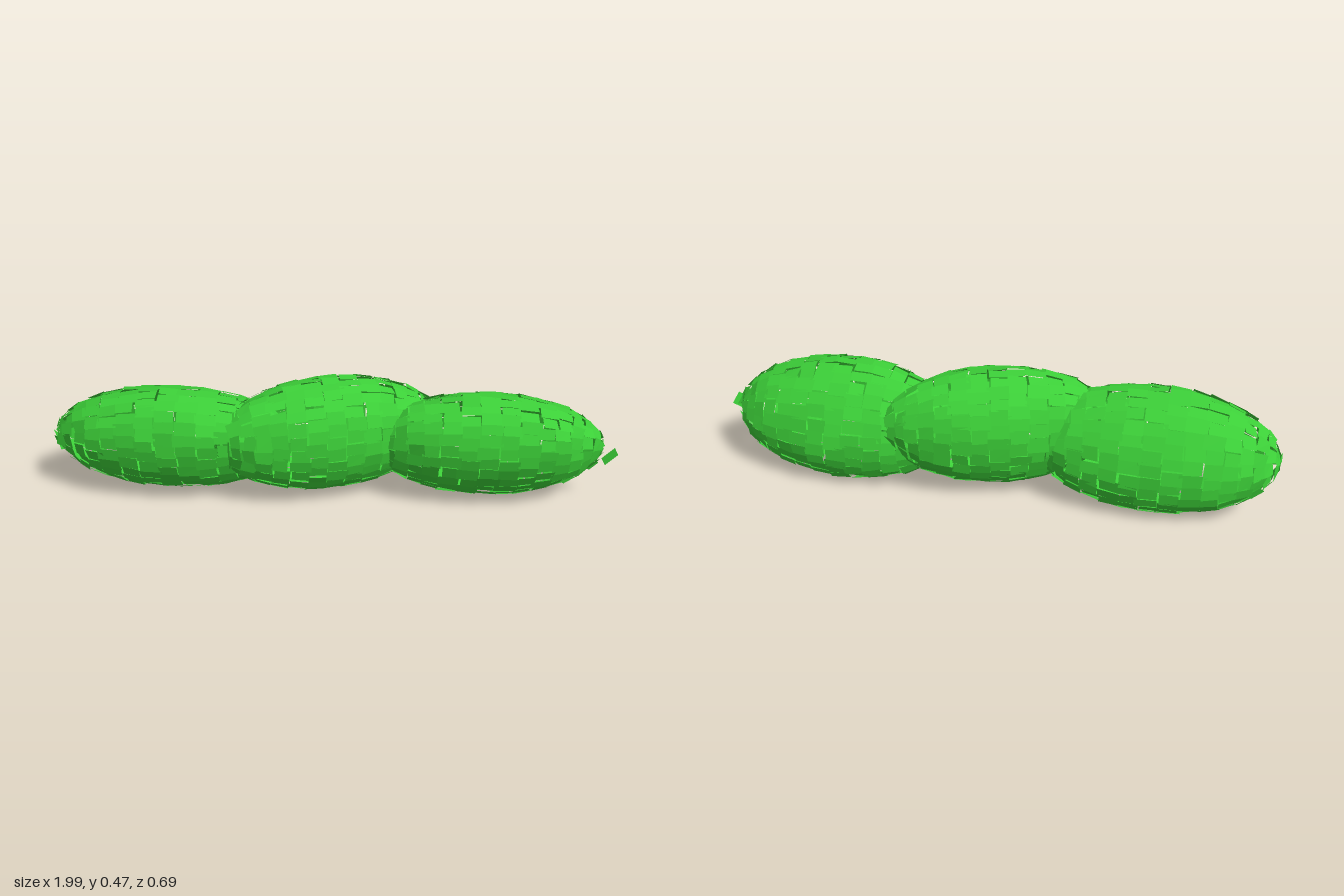
import * as THREE from 'three';

// Small seeded random source, returns values in -1..1
function makeRandom(seed) {
  let s = seed;
  return () => {
    s = (s * 16807) % 2147483647;
    return (s / 2147483647) * 2 - 1;
  };
}

// Unit-sphere point scaled to an ellipsoid; the pole axis runs along x
function onEllipsoid(polar, around, r, lift) {
  const s = Math.sin(polar);
  return [
    r[0] * Math.cos(polar) * lift,
    r[1] * s * Math.cos(around) * lift,
    r[2] * s * Math.sin(around) * lift,
  ];
}

// Skin of flat, slightly uneven tiles laid in rings around the long axis
function tiledEllipsoid(radii, seed) {
  const rnd = makeRandom(seed);
  const rings = 19;
  const step = Math.PI / rings;
  const pos = [];
  for (let i = 0; i < rings; i++) {
    const mid = (i + 0.5) * step;
    const count = Math.max(5, Math.round(28 * Math.sin(mid)));
    const wide = (Math.PI * 2) / count;
    const offset = rnd() * wide;
    for (let j = 0; j < count; j++) {
      const p = mid + rnd() * step * 0.1;
      const a = offset + j * wide + rnd() * wide * 0.09;
      const dp = step * (0.52 + rnd() * 0.07);
      const da = wide * (0.52 + rnd() * 0.07);
      const lift = 1.006 + rnd() * 0.012;
      const tiltP = rnd() * 0.014;
      const tiltA = rnd() * 0.014;
      const corner = (u, v) =>
        onEllipsoid(p + u * dp, a + v * da, radii, lift + u * tiltP + v * tiltA);
      const A = corner(-1, -1), B = corner(1, -1), C = corner(1, 1), D = corner(-1, 1);
      pos.push(...A, ...B, ...C, ...A, ...C, ...D);
    }
  }
  const geo = new THREE.BufferGeometry();
  geo.setAttribute('position', new THREE.Float32BufferAttribute(pos, 3));
  geo.computeVertexNormals();
  return geo;
}

export function createModel() {
  const model = new THREE.Group();
  model.name = 'tiledPod';

  const leafGreen = new THREE.MeshStandardMaterial({
    color: 0x3ccf38, side: THREE.DoubleSide, flatShading: true,
  });
  leafGreen.name = 'leaf green';

  // Three overlapping lobes: centre, radii, yaw and roll
  const lobes = [
    { name: 'rightLobe', at: [-0.565, 0.222, 0.142], r: [0.435, 0.224, 0.162], yaw: 0.24, roll: 0.47 },
    { name: 'middleLobe', at: [-0.02, 0.253, 0], r: [0.415, 0.219, 0.157], yaw: 0.5, roll: 0.1 },
    { name: 'leftLobe', at: [0.53, 0.22, -0.143], r: [0.415, 0.224, 0.162], yaw: 0.24, roll: 0.47 },
  ];
  lobes.forEach((lobe, i) => {
    const mesh = new THREE.Mesh(tiledEllipsoid(lobe.r, 911 + i * 7717), leafGreen);
    mesh.name = lobe.name;
    mesh.position.set(...lobe.at);
    mesh.rotation.set(lobe.roll, lobe.yaw, 0, 'YXZ');
    model.add(mesh);
  });

  // Loose tile floating just off the left tip
  const loose = new THREE.Mesh(new THREE.PlaneGeometry(0.06, 0.05), leafGreen);
  loose.name = 'looseTile';
  loose.position.set(0.967, 0.205, -0.205);
  loose.rotation.set(0.2, 0.75, 0.6, 'YXZ');
  model.add(loose);

  return model;
}
